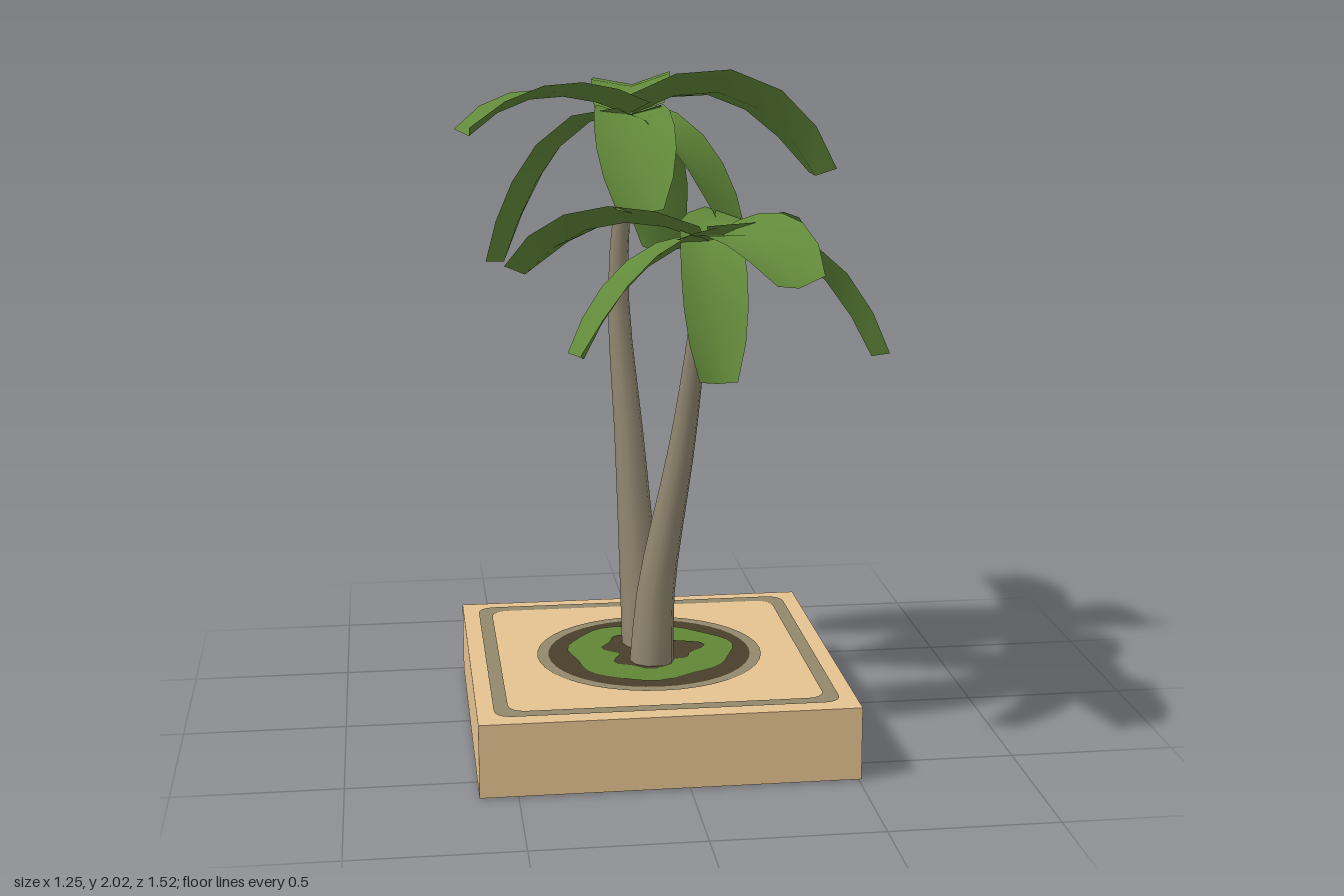
import * as THREE from 'three';

const mat = (name, color, side = THREE.FrontSide) => {
  const m = new THREE.MeshStandardMaterial({ color, side });
  m.name = name;
  return m;
};

// Trunk: tapered tube swept along a curve
function trunk(points, material) {
  const curve = new THREE.CatmullRomCurve3(points);
  const rings = 12, sides = 10;
  const geo = new THREE.TubeGeometry(curve, rings, 1, sides, false);
  const pos = geo.attributes.position, v = new THREE.Vector3();
  for (let i = 0; i <= rings; i++) {
    const c = curve.getPointAt(i / rings);
    const r = 0.022 + 0.047 * Math.pow(1 - i / rings, 1.3);
    for (let j = 0; j <= sides; j++) {
      const k = i * (sides + 1) + j;
      v.fromBufferAttribute(pos, k).sub(c).multiplyScalar(r).add(c);
      pos.setXYZ(k, v.x, v.y, v.z);
    }
  }
  geo.computeVertexNormals();
  return new THREE.Mesh(geo, material);
}

// Frond: rolled strip with a sunken midrib, arching from the crown over midY to its tip
function frond(crown, tip, midY, width, roll, material) {
  const control = crown.clone().lerp(tip, 0.6);
  control.y = 2 * midY - (crown.y + tip.y) / 2;
  const curve = new THREE.QuadraticBezierCurve3(crown, control, tip);
  const across = new THREE.Vector3(crown.z - tip.z, 0, tip.x - crown.x).normalize();
  const n = 5, pos = [], index = [];
  for (let i = 0; i <= n; i++) {
    const t = i / n;
    const half = width / 2 * (0.9 + 0.5 * t - 0.8 * t ** 3);
    const p = curve.getPointAt(t);
    const tangent = curve.getTangentAt(t);
    const side = across.clone().applyAxisAngle(tangent, -roll);
    const normal = side.clone().cross(tangent).normalize();
    for (const s of [-1, 0, 1]) {
      const q = p.clone().addScaledVector(side, s * half)
        .addScaledVector(normal, s ? 0.012 : -0.02);
      pos.push(q.x, q.y, q.z);
    }
    if (i < n) for (const j of [0, 1]) {
      const k = i * 3 + j;
      index.push(k, k + 1, k + 3, k + 1, k + 4, k + 3);
    }
  }
  const geo = new THREE.BufferGeometry();
  geo.setAttribute('position', new THREE.Float32BufferAttribute(pos, 3));
  geo.setIndex(index);
  geo.computeVertexNormals();
  return new THREE.Mesh(geo, material);
}

// Rounded square outline
function roundedSquare(h, r, path) {
  path.moveTo(r - h, -h);
  path.lineTo(h - r, -h).quadraticCurveTo(h, -h, h, r - h);
  path.lineTo(h, h - r).quadraticCurveTo(h, h, h - r, h);
  path.lineTo(r - h, h).quadraticCurveTo(-h, h, -h, h - r);
  path.lineTo(-h, r - h).quadraticCurveTo(-h, -h, r - h, -h);
  return path;
}
function frameShape(outer, inner, r) {
  const s = roundedSquare(outer, r, new THREE.Shape());
  s.holes.push(roundedSquare(inner, r, new THREE.Path()));
  return s;
}

// Irregular patch outline
function patchShape(r, wobble) {
  const pts = [];
  for (let i = 0; i < 40; i++) {
    const t = i / 40 * Math.PI * 2;
    const q = r * (1 + wobble * (Math.sin(3 * t + 1) + 0.6 * Math.sin(7 * t)));
    pts.push(new THREE.Vector2(q * Math.cos(t), q * Math.sin(t)));
  }
  return new THREE.Shape(pts);
}

export function createModel() {
  const sand = mat('sand', 0xe4c18f);
  const stone = mat('stone', 0x92886c);
  const soil = mat('soil', 0x483e2a);
  const grass = mat('grass', 0x628636);
  const bark = mat('bark', 0x8e846e, THREE.DoubleSide);
  const leaf = mat('leaf', 0x628a3a, THREE.DoubleSide);
  const navy = mat('navy', 0x0c4e70);

  const model = new THREE.Group();
  const add = (mesh, name, parent) => {
    mesh.name = name;
    parent.add(mesh);
    return mesh;
  };

  // Planter base with flat painted plates
  const base = add(new THREE.Group(), 'base', model);
  base.position.set(-0.053, 0, 0.07);
  const block = add(new THREE.Mesh(new THREE.BoxGeometry(1.12, 0.222, 1.12), sand), 'block', base);
  block.position.y = 0.114;
  const plate = (geo, material, y, name, down = false) => {
    const m = add(new THREE.Mesh(geo, material), name, base);
    m.rotation.x = down ? Math.PI / 2 : -Math.PI / 2;
    m.position.y = y;
  };
  plate(new THREE.ShapeGeometry(frameShape(0.51, 0.467, 0.06)), stone, 0.228, 'stoneBorder');
  plate(new THREE.ShapeGeometry(frameShape(0.5, 0.47, 0.02)), navy, 0, 'undersideBorder', true);
  plate(new THREE.RingGeometry(0.315, 0.35, 40), stone, 0.228, 'stoneRing');
  plate(new THREE.CircleGeometry(0.315, 40), soil, 0.228, 'soilBed');
  plate(new THREE.ShapeGeometry(patchShape(0.255, 0.05)), grass, 0.231, 'grassPatch');
  plate(new THREE.ShapeGeometry(patchShape(0.14, 0.2)), soil, 0.234, 'soilPatch');

  // Palm: trunk path, then fronds as tip x, y, z, middle height, width, roll
  const palm = (name, path, fronds) => {
    const group = add(new THREE.Group(), name, model);
    const points = path.map((p) => new THREE.Vector3(...p));
    const crown = points[points.length - 1].clone();
    crown.y += 0.04;
    add(trunk(points, bark), 'trunk', group);
    fronds.forEach(([x, y, z, midY, width, roll], i) => {
      const tip = new THREE.Vector3(x, y, z);
      add(frond(crown, tip, midY, width, roll, leaf), 'frond' + (i + 1), group);
    });
  };

  palm('tallPalm',
    [[-0.06, 0.22, -0.01], [-0.09, 0.85, -0.12], [-0.115, 1.35, -0.205], [-0.08, 1.86, -0.18]],
    [
      [-0.005, 1.86, -0.745, 1.97, 0.24, 0.08],
      [-0.595, 1.855, 0.01, 1.965, 0.26, -0.15],
      [0.525, 1.69, -0.21, 1.95, 0.28, 0.35],
      [-0.1, 1.64, 0.25, 1.84, 0.23, 0],
      [-0.48, 1.41, -0.37, 1.79, 0.26, 0],
      [0.21, 1.54, 0.01, 1.8, 0.24, 0],
      [0.05, 1.42, -0.45, 1.75, 0.22, 0],
    ]);
  palm('shortPalm',
    [[-0.055, 0.22, 0.155], [-0.04, 0.45, 0.14], [0.045, 0.95, 0.15], [0.1, 1.53, 0.25]],
    [
      [0.605, 1.21, 0.29, 1.52, 0.25, 0.25],
      [0.285, 1.5, 0.735, 1.61, 0.24, -0.2],
      [-0.3, 1.25, 0.42, 1.49, 0.23, -0.25],
      [0.08, 1.2, 0.6, 1.49, 0.18, 0],
      [0.42, 1.42, -0.21, 1.59, 0.25, 0],
      [-0.43, 1.43, -0.03, 1.6, 0.26, -0.25],
    ]);
  return model;
}
